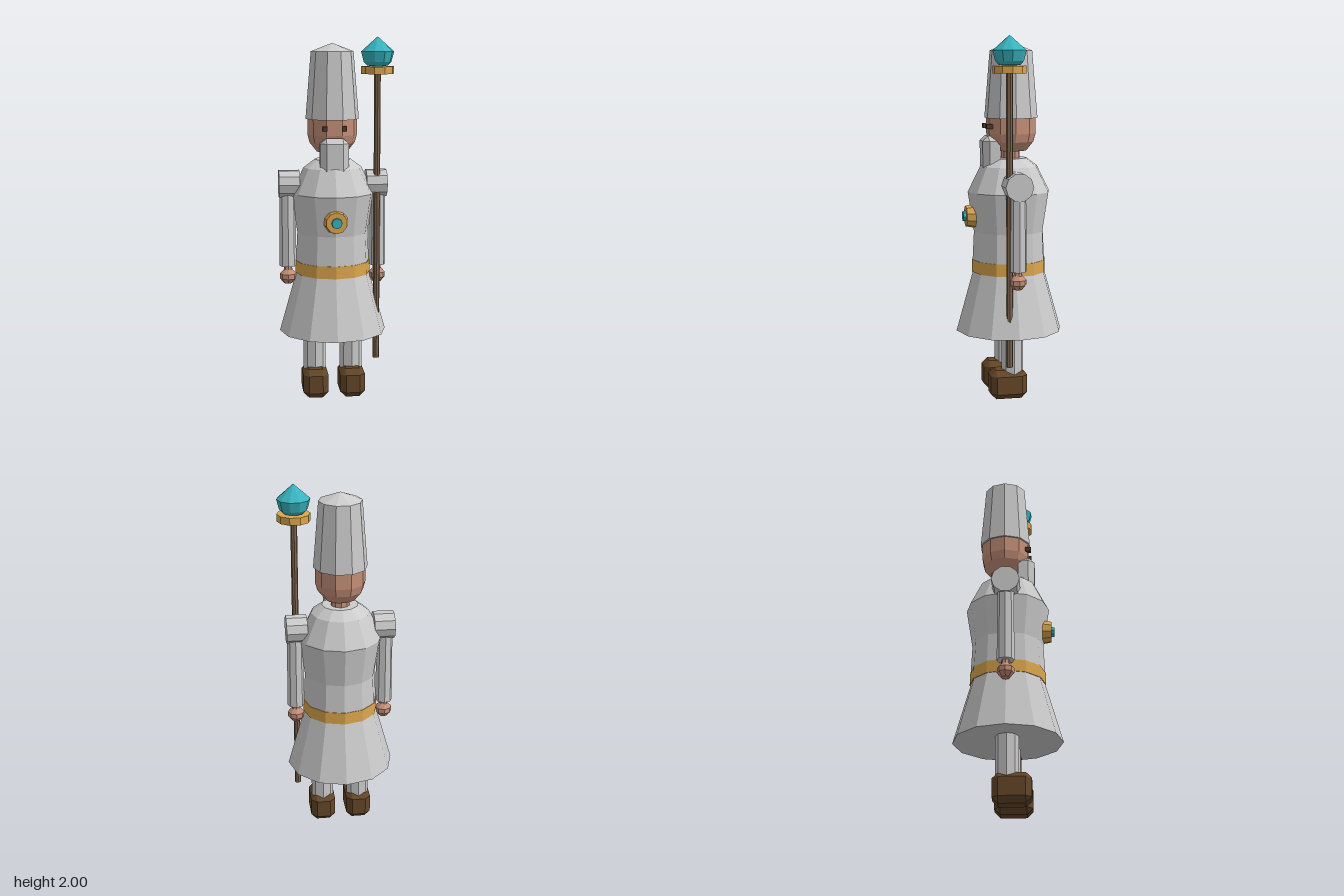
import * as THREE from 'three';
import { ConvexGeometry } from 'three/addons/geometries/ConvexGeometry.js';

const mat = (color) => new THREE.MeshStandardMaterial({ color, flatShading: true });

export function createModel() {
  const model = new THREE.Group();
  const grey = mat(0xcccccc), skin = mat(0xc48f78), gold = mat(0xdca64c);
  const teal = mat(0x38b4c0), wood = mat(0x806650), leather = mat(0x644628), dark = mat(0x4c382e);
  const cx = -0.018;

  const add = (name, geometry, material, x = 0, y = 0, z = 0) => {
    const mesh = new THREE.Mesh(geometry, material);
    mesh.name = name;
    mesh.position.set(x, y, z);
    model.add(mesh);
    return mesh;
  };
  // Faceted solid of revolution with corners on the x axis; profile runs bottom to top
  const turned = (profile, sides) => new THREE.LatheGeometry(
    profile.map(([r, y]) => new THREE.Vector2(r, y)), sides, Math.PI / 2);

  // Robe and belt
  add('robe', turned([[0, 0.37], [0.297, 0.37], [0.204, 0.7], [0.204, 0.77], [0.196, 0.93],
    [0.23, 1.15], [0.16, 1.29], [0.1, 1.335], [0, 1.335]], 12), grey, cx);
  add('belt', turned([[0.2, 0.702], [0.208, 0.702], [0.207, 0.77], [0.19, 0.77]], 12), gold, cx);

  // Head, neck and tall hat
  add('neck', new THREE.CylinderGeometry(0.052, 0.052, 0.12, 10), skin, cx, 1.36, -0.01);
  add('head', turned([[0, 1.375], [0.085, 1.375], [0.125, 1.425], [0.137, 1.47],
    [0.137, 1.57], [0, 1.57]], 10), skin, cx, 0, -0.013);
  add('hat', turned([[0, 1.555], [0.147, 1.555], [0.117, 1.92], [0, 1.965]], 10), grey, cx, 0, -0.013);
  for (const s of [-1, 1]) {
    add('eye', new THREE.BoxGeometry(0.026, 0.026, 0.04), dark, cx + s * 0.052, 1.51, 0.115);
  }

  // Beard: faceted block with a sloping top
  const beardPoints = [];
  for (const s of [-1, 1]) {
    for (const [x, z, top] of [[0.078, 0.06, 1.43], [0.078, 0.118, 1.43], [0.045, 0.153, 1.43],
      [0.045, 0.125, 1.458], [0.045, 0.06, 1.458]]) {
      beardPoints.push(new THREE.Vector3(s * x, 1.24, z), new THREE.Vector3(s * x, top, z));
    }
  }
  add('beard', new ConvexGeometry(beardPoints), grey, cx);

  // Round brooch on the chest
  add('broochRim', new THREE.CylinderGeometry(0.058, 0.067, 0.05, 10), gold, cx, 1.015, 0.217)
    .rotation.x = Math.PI / 2;
  add('broochGem', new THREE.CylinderGeometry(0.028, 0.031, 0.03, 8), teal, cx, 1.015, 0.243)
    .rotation.x = Math.PI / 2;

  // Boot: block with every corner and edge cut off
  const bootPoints = [];
  const [bw, bh, bd, cut] = [0.07, 0.082, 0.103, 0.032];
  for (const i of [-1, 1]) for (const j of [-1, 1]) for (const k of [-1, 1]) {
    bootPoints.push(
      new THREE.Vector3(i * bw, j * (bh - cut), k * (bd - cut)),
      new THREE.Vector3(i * (bw - cut), j * bh, k * (bd - cut)),
      new THREE.Vector3(i * (bw - cut), j * (bh - cut), k * bd));
  }
  const bootGeometry = new ConvexGeometry(bootPoints);

  // Arms, hands, legs and boots on both sides
  for (const s of [-1, 1]) {
    const armX = cx + s * 0.249, legX = cx + s * 0.103;
    add('shoulder', new THREE.CylinderGeometry(0.077, 0.077, 0.114, 10), grey, cx + s * 0.241, 1.2, 0)
      .rotation.z = Math.PI / 2;
    add('arm', new THREE.CylinderGeometry(0.044, 0.047, 0.47, 8), grey, armX, 0.975, 0);
    add('hand', turned([[0, 0.64], [0.024, 0.642], [0.046, 0.668], [0.046, 0.695],
      [0.024, 0.718], [0.02, 0.75]], 8), skin, armX);
    add('leg', new THREE.CylinderGeometry(0.062, 0.062, 0.36, 8), grey, legX, 0.3, 0);
    add('boot', bootGeometry, leather, legX, 0.082, 0.027);
  }

  // Staff with collar and crystal
  const sx = 0.223, sz = 0.045;
  add('staffPole', new THREE.CylinderGeometry(0.018, 0.018, 1.62, 8), wood, sx, 1.02, sz);
  add('staffCollar', turned([[0, 1.8], [0.09, 1.8], [0.09, 1.84], [0, 1.84]], 10), gold, sx, 0, sz);
  add('staffCrystal', turned([[0, 1.835], [0.058, 1.845], [0.076, 1.865], [0.09, 1.92], [0, 2]], 10),
    teal, sx, 0, sz);

  return model;
}
